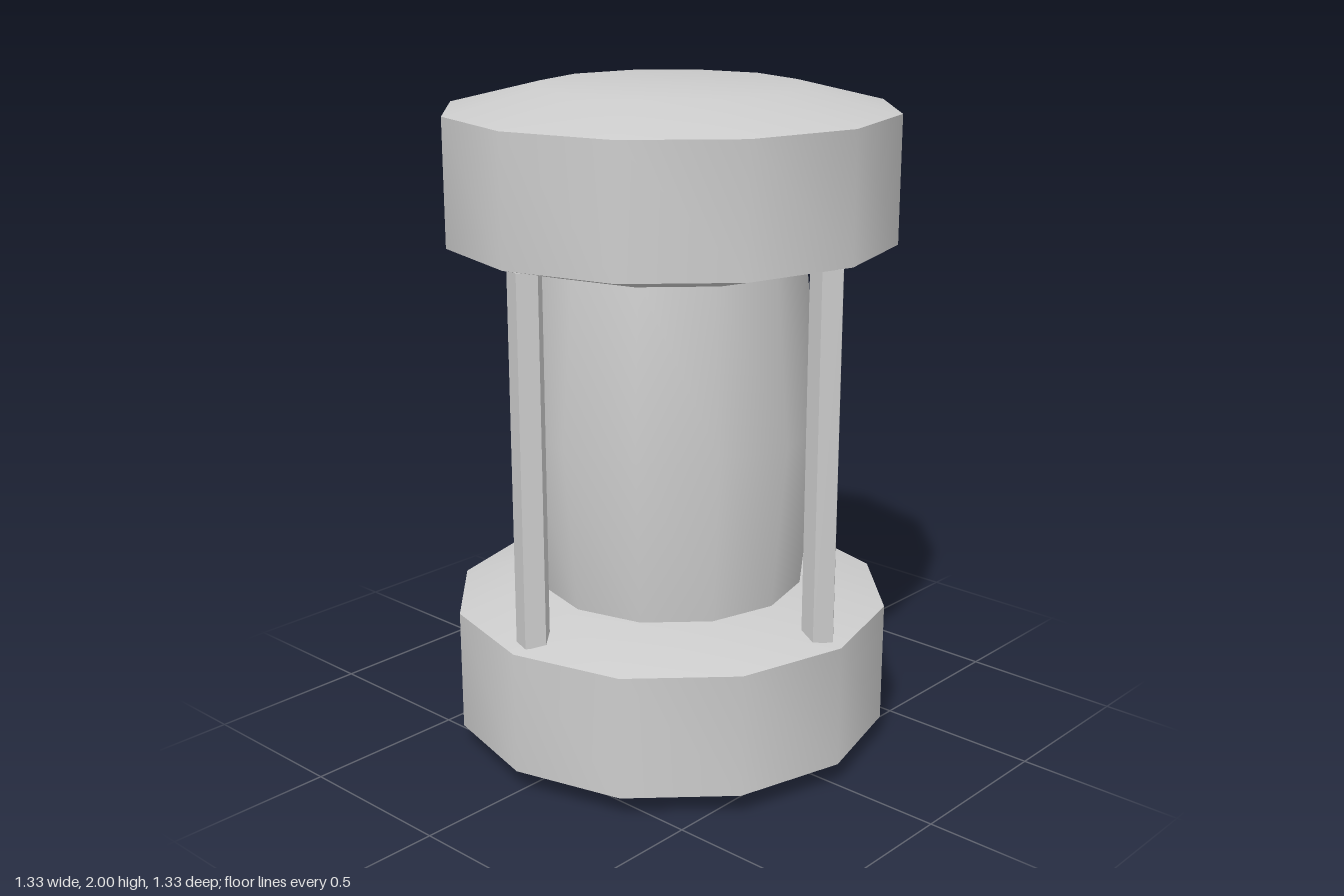
import * as THREE from 'three';
import { toCreasedNormals } from 'three/addons/utils/BufferGeometryUtils.js';

const SIDES = 12;

// Twelve-sided turned solid from [radius, height] points, bottom to top
function turned(profile) {
  const points = profile.map(([r, y]) => new THREE.Vector2(r, y));
  return toCreasedNormals(new THREE.LatheGeometry(points, SIDES), 0.7);
}

export function createModel() {
  const group = new THREE.Group();
  const grey = new THREE.MeshStandardMaterial({ color: 0xcccccc });
  grey.name = 'lightGrey';

  const add = (name, geometry, x = 0, y = 0, z = 0) => {
    const mesh = new THREE.Mesh(geometry, grey);
    mesh.name = name;
    mesh.position.set(x, y, z);
    group.add(mesh);
  };

  // Drum profile: shallow outer bevel, straight wall, shallow inner bevel
  const drum = [[0, 0], [0.39, 0], [0.667, 0.068], [0.667, 0.44], [0.45, 0.497], [0, 0.497]];
  add('baseDrum', turned(drum));
  add('topDrum', turned(drum.map(([r, y]) => [r, 2 - y]).reverse()));

  // Barrel, widest at mid height
  add('barrel', turned([[0.405, 0.49], [0.455, 1], [0.405, 1.51]]));

  // Four five-sided rods joining the drums
  const rod = new THREE.CylinderGeometry(0.051, 0.051, 1.1, 5).toNonIndexed();
  rod.computeVertexNormals();
  const reach = 0.585;
  [['left', 1, 0], ['right', -1, 0], ['front', 0, 1], ['back', 0, -1]].forEach(([side, x, z]) =>
    add(side + 'Rod', rod, x * reach, 1, z * reach));

  return group;
}
